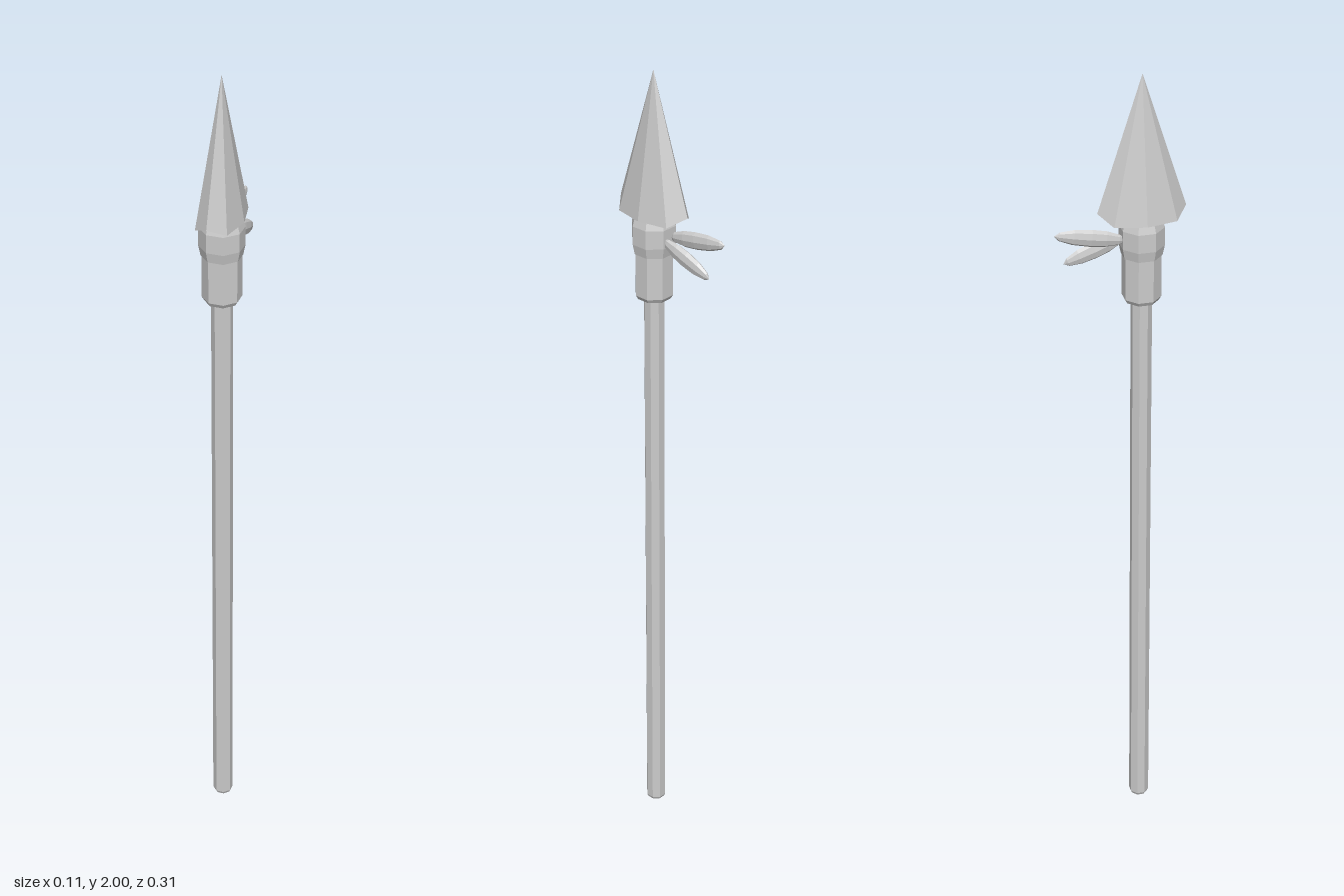
import * as THREE from 'three';

const AXIS_Z = 0.05;

export function createModel() {
  const model = new THREE.Group();
  const material = new THREE.MeshStandardMaterial({ color: 0xcccccc, flatShading: true });

  const add = (name, geometry) => {
    const mesh = new THREE.Mesh(geometry, material);
    mesh.name = name;
    model.add(mesh);
    return mesh;
  };
  // Eight-sided turned part around the spear's axis, from [radius, y] pairs
  const turned = (name, profile) => {
    const points = profile.map(([r, y]) => new THREE.Vector2(r, y));
    const mesh = add(name, new THREE.LatheGeometry(points, 8, Math.PI / 8));
    mesh.position.z = AXIS_Z;
  };

  turned('shaft', [[0, 0], [0.021, 0], [0.025, 0.008], [0.025, 1.47], [0, 1.47]]);
  turned('socket', [[0, 1.45], [0.04, 1.45], [0.046, 1.46], [0.046, 1.575], [0, 1.575]]);
  turned('collar', [[0, 1.565], [0.048, 1.565], [0.053, 1.59], [0.053, 1.635], [0.047, 1.655], [0.035, 1.67], [0, 1.67]]);

  // Flattened octagonal blade whose rim rises at its front and back corners
  const blade = new THREE.CylinderGeometry(0, 1, 0.345, 8, 1);
  blade.scale(0.053, 1, 0.103);
  blade.translate(0, 1.8275, 0);
  const p = blade.attributes.position;
  for (let i = 0; i < p.count; i++) {
    if (p.getY(i) < 1.7 && Math.abs(p.getZ(i)) > 0.09) p.setY(i, 1.676);
  }
  add('spearhead', blade).position.z = AXIS_Z;

  // Slim leaf-shaped feathers behind the collar, one on each side
  const leaf = [[0, 0], [0.6, 0.12], [0.92, 0.3], [1, 0.5], [0.88, 0.74], [0.5, 0.93], [0, 1]];
  const feather = (name, x, start, end) => {
    const dy = end[0] - start[0], dz = end[1] - start[1];
    const length = Math.hypot(dy, dz);
    const geometry = new THREE.LatheGeometry(leaf.map(([r, t]) => new THREE.Vector2(r, t * length)), 8);
    geometry.scale(0.0115, 1, 0.021);
    const mesh = add(name, geometry);
    mesh.position.set(x, start[0], start[1]);
    mesh.rotation.x = Math.atan2(dz, dy);
  };
  feather('rightFeather', -0.011, [1.608, 0.015], [1.638, -0.155]);
  feather('leftFeather', 0.011, [1.608, 0.015], [1.555, -0.129]);

  return model;
}
